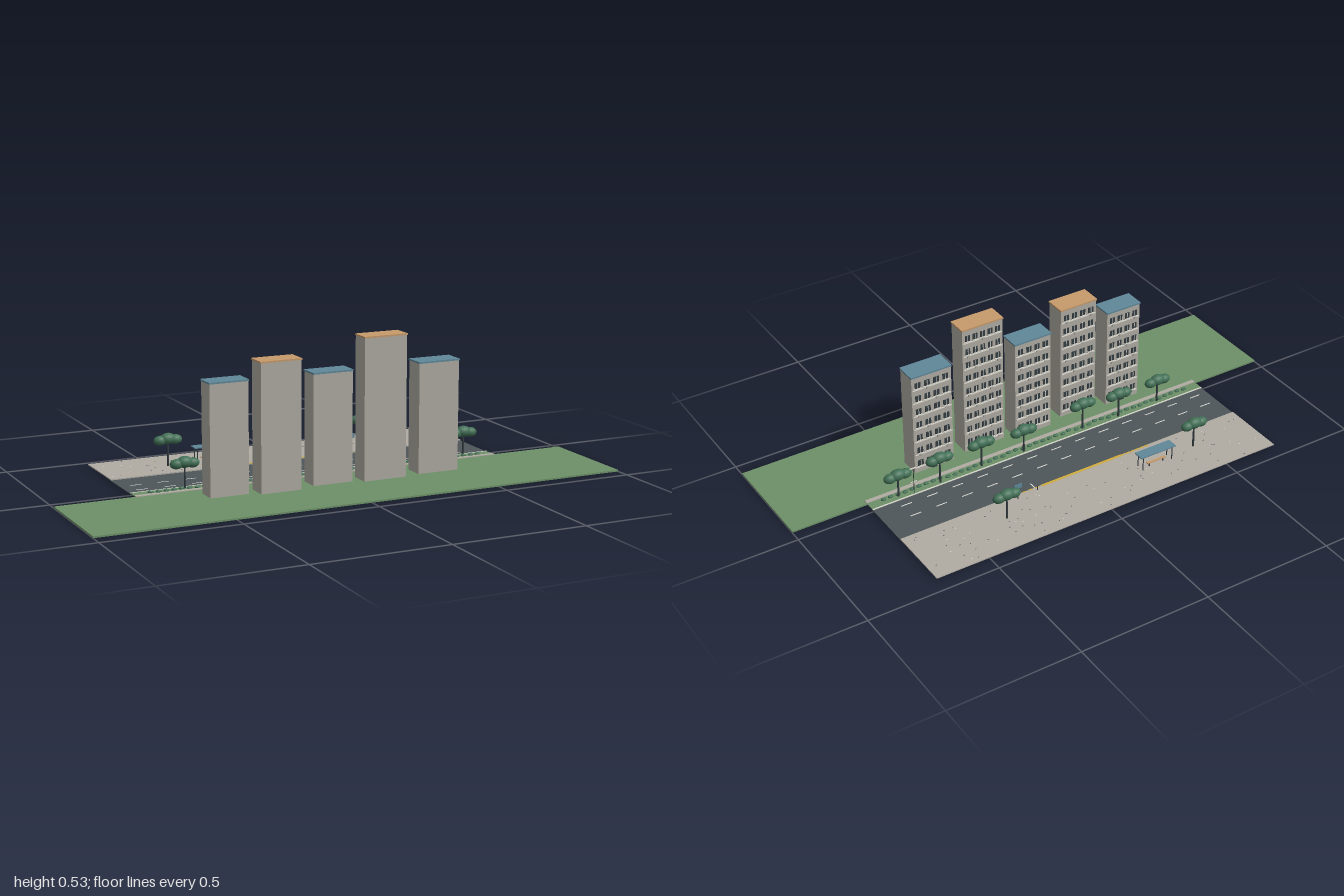
import * as THREE from 'three';

const mat = (name, color, side = THREE.FrontSide) => {
  const m = new THREE.MeshStandardMaterial({ color, side });
  m.name = name;
  return m;
};

export function createModel() {
  const root = new THREE.Group();
  root.name = 'streetBlock';
  const M = {
    grass: mat('grass green', 0x6c9068),
    road: mat('asphalt', 0x4d565a),
    pave: mat('paving grey', 0xb0aca3),
    wall: mat('concrete wall', 0xadaba1),
    blue: mat('roof blue', 0x5f8799),
    tan: mat('roof tan', 0xc79a6b),
    leaf: mat('foliage', 0x427056),
    dark: mat('dark metal and glass', 0x343d42),
    white: mat('off white', 0xdedcd2),
    yellow: mat('tactile yellow', 0xd4ae3c),
  };

  // Box given by its min and max corners
  const box = (name, m, x0, x1, y0, y1, z0, z1, parent = root) => {
    const mesh = new THREE.Mesh(new THREE.BoxGeometry(x1 - x0, y1 - y0, z1 - z0), m);
    mesh.position.set((x0 + x1) / 2, (y0 + y1) / 2, (z0 + z1) / 2);
    mesh.name = name;
    parent.add(mesh);
    return mesh;
  };
  const group = (name) => {
    const g = new THREE.Group();
    g.name = name;
    root.add(g);
    return g;
  };
  const post = (name, m, x, z, y0, y1, r, parent) => {
    const mesh = new THREE.Mesh(new THREE.CylinderGeometry(r * 0.8, r, y1 - y0, 8), m);
    mesh.position.set(x, (y0 + y1) / 2, z);
    mesh.name = name;
    parent.add(mesh);
  };
  let seed = 7;
  const rand = () => (seed = (seed * 16807) % 2147483647) / 2147483647;

  // Ground layers
  box('lawn', M.grass, -1, 1, 0, 0.006, 0.045, 0.445);
  box('plantingStrip', M.grass, -0.71, 0.71, 0.006, 0.009, 0, 0.045);
  box('footpath', M.pave, -0.71, 0.71, 0.008, 0.011, 0.043, 0.06);
  box('road', M.road, -0.71, 0.71, 0.004, 0.007, -0.2, 0);
  box('pavement', M.pave, -0.71, 0.71, 0.007, 0.011, -0.445, -0.197);
  box('kerb', M.white, -0.71, 0.71, 0.007, 0.01, -0.001, 0.003);

  // Lane dashes
  const lanes = group('laneMarkings');
  for (const z of [-0.1, -0.034]) {
    for (let i = 0; i < 13; i++) {
      const x = -0.675 + i * 0.104;
      box('dash', M.white, x, x + 0.043, 0.007, 0.0078, z - 0.002, z + 0.002, lanes);
    }
  }

  // Tactile strip along the stop, fading into short dashes
  const tactile = group('tactileStrip');
  box('tactileSlab', M.yellow, -0.2, 0.14, 0.011, 0.0118, -0.206, -0.196, tactile);
  for (let i = 0; i < 6; i++) {
    const d = i * 0.021;
    box('tactileDash', M.yellow, -0.32 + d, -0.304 + d, 0.011, 0.0118, -0.205, -0.198, tactile);
    box('tactileDash', M.yellow, 0.15 + d * 1.3, 0.166 + d * 1.3, 0.011, 0.0118, -0.202, -0.197, tactile);
  }

  // Small paving flecks
  const flecks = group('pavingFlecks');
  for (let i = 0; i < 90; i++) {
    const x = -0.69 + rand() * 1.37, z = -0.435 + rand() * 0.215;
    box('fleck', i % 3 ? M.road : M.white, x, x + 0.005, 0.011, 0.0114, z, z + 0.003, flecks);
  }

  // Apartment towers: x range, z range, height, roof colour, columns
  const towers = [
    [-0.484, -0.34, 0.105, 0.178, 0.41, M.blue, 4],
    [-0.305, -0.152, 0.128, 0.204, 0.472, M.tan, 4],
    [-0.094, 0.058, 0.105, 0.178, 0.41, M.blue, 4],
    [0.094, 0.26, 0.128, 0.2, 0.526, M.tan, 5],
    [0.318, 0.478, 0.111, 0.188, 0.415, M.blue, 4],
  ];
  towers.forEach(([x0, x1, z0, z1, h, roof, cols], t) => {
    const g = group('tower' + (t + 1));
    box('walls', M.wall, x0, x1, 0.005, h - 0.006, z0, z1, g);
    box('roof', roof, x0 - 0.002, x1 + 0.002, h - 0.006, h, z0 - 0.003, z1 + 0.002, g);
    const rows = Math.floor((h - 0.04) / 0.052);
    const floor = (h - 0.03) / rows, bay = (x1 - x0 - 0.012) / cols;
    for (let r = 0; r < rows; r++) {
      const y = 0.03 + r * floor;
      box('floorBand', M.white, x0 + 0.004, x1 - 0.004, y - 0.004, y - 0.001, z0 - 0.003, z0, g);
      for (let c = 0; c < cols; c++) {
        const x = x0 + 0.006 + (c + 0.5) * bay;
        const w = bay * 0.3;
        box('window', M.dark, x - w, x + w, y + 0.004, y + 0.027, z0 - 0.002, z0, g);
        box('mullion', M.white, x - 0.001, x + 0.001, y + 0.004, y + 0.027, z0 - 0.003, z0, g);
        box('sill', M.white, x - w - 0.002, x + w + 0.002, y + 0.001, y + 0.004, z0 - 0.005, z0, g);
        // Air conditioner boxes on some bays
        if ((r * 2 + c + t) % 3 === 0) {
          box('airUnit', M.wall, x - 0.005, x + 0.005, y - 0.006, y + 0.002, z0 - 0.008, z0, g);
        }
      }
    }
    box('entrance', M.dark, (x0 + x1) / 2 - 0.01, (x0 + x1) / 2 + 0.01, 0.006, 0.025, z0 - 0.004, z0, g);
  });

  // Trees with a wide canopy of three rounded clumps
  const clump = new THREE.SphereGeometry(1, 18, 12);
  const tree = (x, z, y, base) => {
    const g = group('tree');
    post('trunk', M.dark, x, z, base, y, 0.004, g);
    for (const [dx, dy, sx, s] of [[0, 0.003, 0.03, 0.021], [-0.03, -0.002, 0.025, 0.018], [0.03, -0.002, 0.025, 0.018]]) {
      const leaf = new THREE.Mesh(clump, M.leaf);
      leaf.scale.set(sx, s, s);
      leaf.position.set(x + dx, y + dy, z);
      leaf.name = 'canopy';
      g.add(leaf);
    }
  };
  [[-0.515, 0.02, 0.1], [-0.335, 0.013, 0.108], [-0.18, 0.02, 0.116], [0.08, 0.014, 0.1],
    [0.255, 0.02, 0.108], [0.43, 0.014, 0.112], [0.595, 0.022, 0.098]].forEach(([x, z, y]) => tree(x, z, y, 0.008));
  [-0.455, 0.342].forEach((x) => tree(x, -0.294, 0.11, 0.011));

  // Low hedge shrubs in the planting strip
  const hedge = group('hedge');
  for (let i = 0; i < 46; i++) {
    const shrub = new THREE.Mesh(new THREE.SphereGeometry(1, 8, 6), M.leaf);
    shrub.scale.set(0.011, 0.005 + rand() * 0.002, 0.007);
    shrub.position.set(-0.645 + i * 0.0288, 0.011, 0.024 + rand() * 0.01);
    shrub.name = 'shrub';
    hedge.add(shrub);
  }

  // Waiting shelter
  const shelter = group('shelter');
  box('shelterRoof', M.blue, -0.354, -0.204, 0.066, 0.07, -0.324, -0.282, shelter);
  for (const x of [-0.342, -0.216]) {
    for (const z of [-0.318, -0.287]) post('shelterPost', M.dark, x, z, 0.011, 0.067, 0.002, shelter);
  }
  box('bench', M.tan, -0.32, -0.24, 0.024, 0.027, -0.313, -0.303, shelter);
  for (const x of [-0.31, -0.25]) box('benchLeg', M.dark, x - 0.002, x + 0.002, 0.011, 0.024, -0.31, -0.306, shelter);

  // Stop sign post, bollard and street lamp
  const sign = group('stopSign');
  post('signPost', M.dark, 0.252, -0.222, 0.011, 0.075, 0.0015, sign);
  box('signPlate', M.blue, 0.237, 0.267, 0.058, 0.075, -0.2245, -0.2215, sign);
  post('bollard', M.dark, 0.165, -0.213, 0.011, 0.026, 0.002, root);
  box('stopLine', M.white, 0.163, 0.167, 0.007, 0.0078, -0.195, -0.165);
  const lamp = group('streetLamp');
  post('lampPost', M.dark, 0.542, 0.004, 0.007, 0.12, 0.0015, lamp);
  box('lampHead', M.white, 0.53, 0.556, 0.118, 0.121, 0.002, 0.006, lamp);
  box('lampArm', M.white, 0.53, 0.554, 0.06, 0.063, 0.003, 0.005, lamp);
  return root;
}
